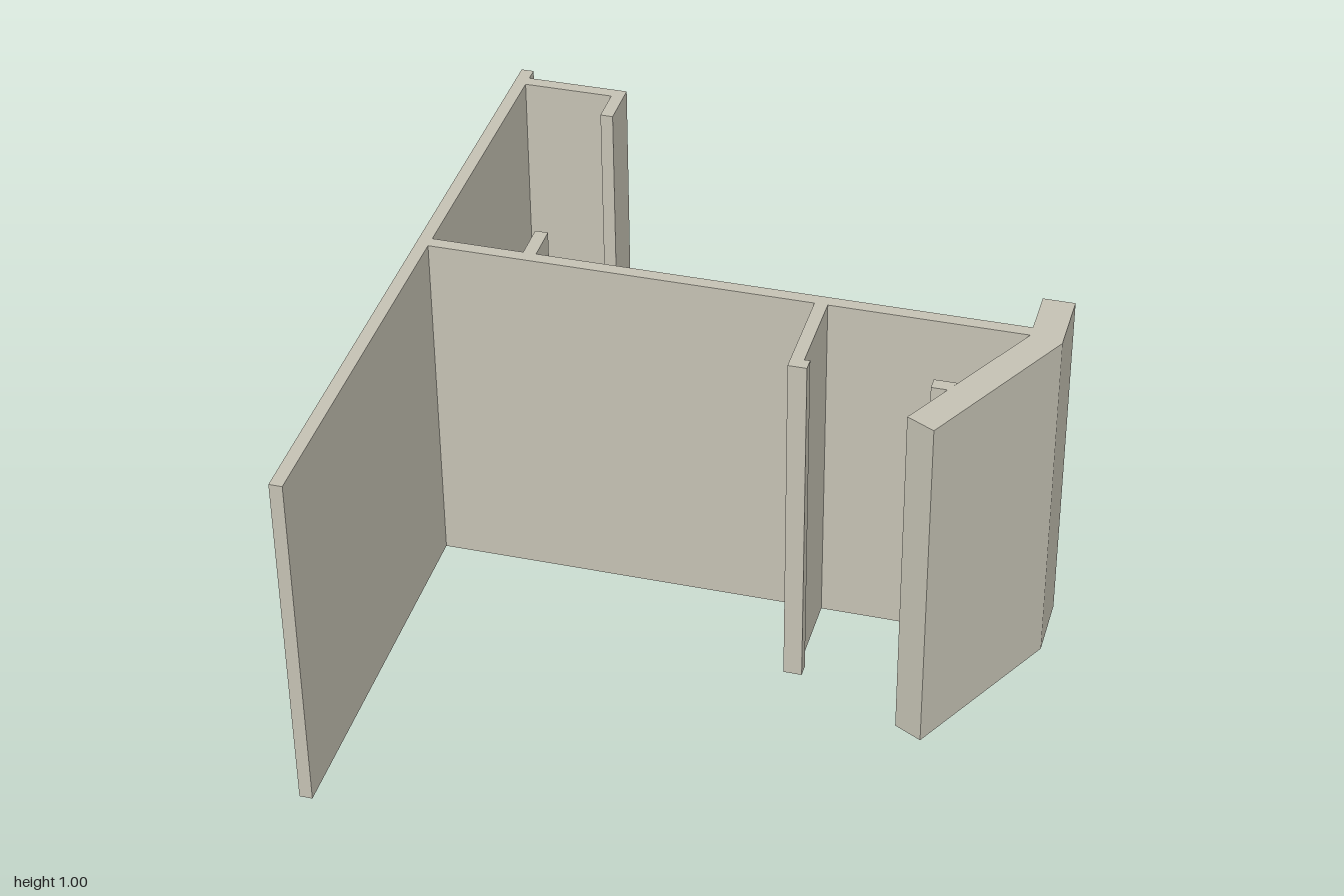
import * as THREE from 'three';

const HEIGHT = 1;

export function createModel() {
  const group = new THREE.Group();
  group.name = 'extrudedProfile';
  const metal = new THREE.MeshStandardMaterial({ color: 0xc5c2b4 });
  metal.name = 'warm grey';

  // Raises a plan outline, given as [x, z] points, to the full height
  function addPart(name, points) {
    const shape = new THREE.Shape(points.map(([x, z]) => new THREE.Vector2(x, -z)));
    const geometry = new THREE.ExtrudeGeometry(shape, { depth: HEIGHT, bevelEnabled: false });
    geometry.rotateX(-Math.PI / 2);
    const mesh = new THREE.Mesh(geometry, metal);
    mesh.name = name;
    group.add(mesh);
  }
  const rect = (x0, x1, z0, z1) => [[x0, z0], [x0, z1], [x1, z1], [x1, z0]];

  // Long side wall and the web crossing from it
  addPart('sideWall', rect(-0.86, -0.825, -1, 1));
  addPart('web', rect(-0.825, 0.775, -0.11, -0.075));

  // Hooked lip at the back and the short rib facing it
  addPart('backLip', [
    [-0.825, -0.96], [-0.825, -0.925], [-0.575, -0.925],
    [-0.575, -0.82], [-0.54, -0.82], [-0.54, -0.96],
  ]);
  addPart('backRib', rect(-0.575, -0.54, -0.215, -0.11));

  // L-shaped rib on the front of the web
  addPart('frontRib', [
    [0.215, -0.075], [0.215, 0.21], [0.265, 0.21],
    [0.265, 0.175], [0.25, 0.175], [0.25, -0.075],
  ]);

  // Bent flange at the end of the web, with a small nub inside
  addPart('bentFlange', [
    [0.775, -0.245], [0.775, -0.075], [0.55, 0.345],
    [0.625, 0.385], [0.86, -0.06], [0.86, -0.245],
  ]);
  addPart('flangeNub', [[0.58, 0.175], [0.58, 0.21], [0.622, 0.21], [0.641, 0.175]]);

  return group;
}
